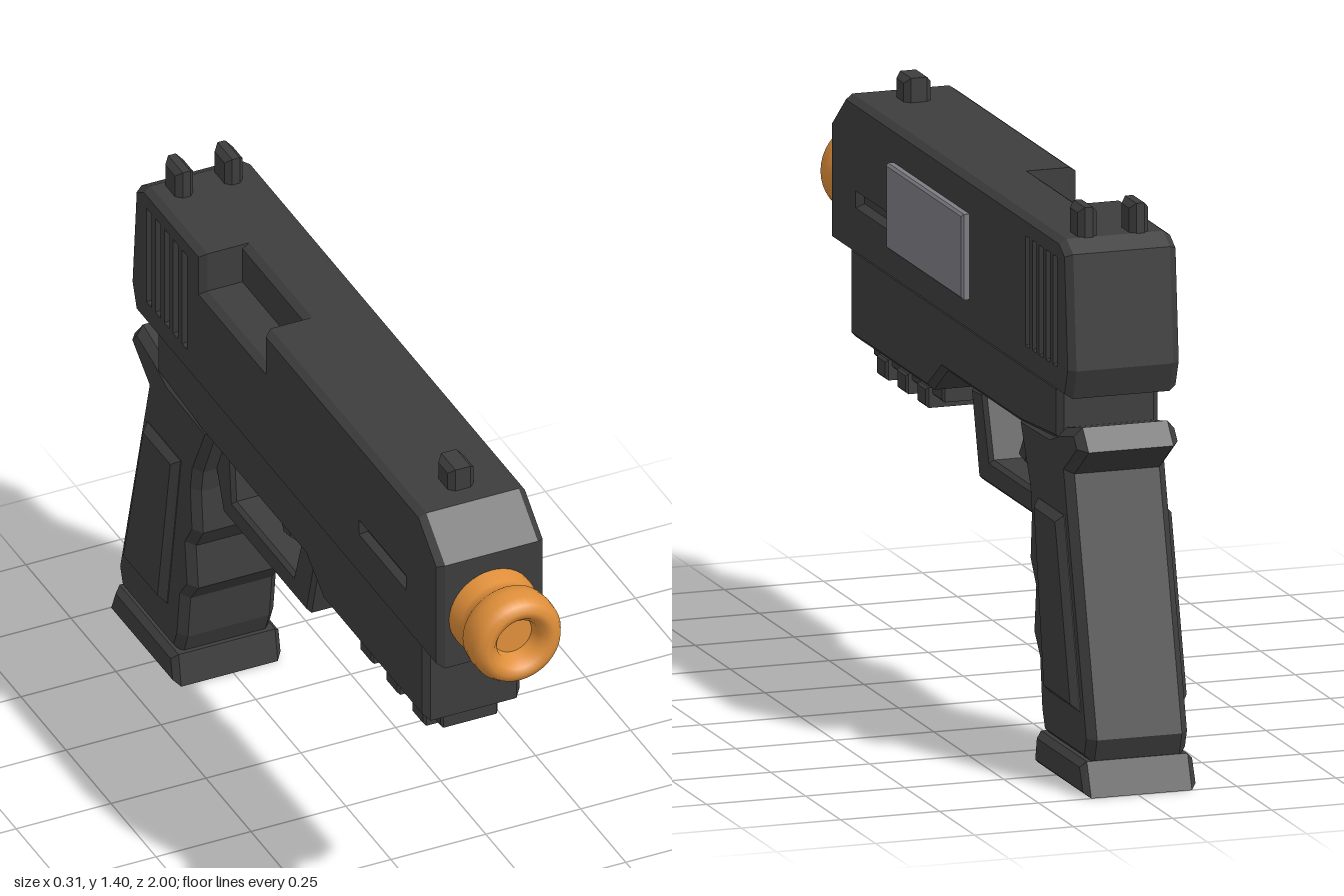
import * as THREE from 'three';

const dark = new THREE.MeshStandardMaterial({ color: 0x3d3d3d });
dark.name = 'charcoal';
const grey = new THREE.MeshStandardMaterial({ color: 0x7e7d84 });
grey.name = 'grey';
const orange = new THREE.MeshStandardMaterial({ color: 0xe08f3a });
orange.name = 'orange';

const MID = -0.01; // centre line of the body

const rect = (z0, z1, y0, y1) => [[z0, y0], [z1, y0], [z1, y1], [z0, y1]];
const toVectors = (pts) => pts.map(([z, y]) => new THREE.Vector2(z, y));

// Side profile of [z, y] points extruded from x0 to x1 with chamfered edges.
// With holes, the profile is the flat side face and the chamfer grows outward.
function slab(pts, x0, x1, bevel, { holes = [], thickness = bevel } = {}) {
  const shape = new THREE.Shape(toVectors(pts));
  shape.holes = holes.map((h) => new THREE.Path(toVectors(h)));
  const depth = x1 - x0 - 2 * thickness;
  const geo = new THREE.ExtrudeGeometry(shape, {
    depth, bevelEnabled: bevel > 0, bevelSegments: 1, bevelSize: bevel,
    bevelThickness: thickness, bevelOffset: holes.length ? 0 : -bevel,
  });
  geo.translate(0, 0, -depth / 2);
  geo.rotateY(-Math.PI / 2);
  geo.translate((x0 + x1) / 2, 0, 0);
  return geo;
}

export function createModel() {
  const model = new THREE.Group();
  model.name = 'toyBlaster';
  const add = (name, geo, material = dark) => {
    const mesh = new THREE.Mesh(geo, material);
    mesh.name = name;
    model.add(mesh);
    return mesh;
  };
  const centred = (name, pts, width, bevel) =>
    add(name, slab(pts, MID - width / 2, MID + width / 2, bevel));

  // Slide: two overlapping halves with rear serrations and a front groove
  const slots = [rect(0.39, 0.65, 1.065, 1.107)];
  for (let i = 0; i < 5; i++) {
    const z = -0.58 - i * 0.049;
    slots.push(rect(z - 0.014, z + 0.014, 1.01, 1.28));
  }
  const front = [[0.818, 0.957], [0.818, 1.234], [0.72, 1.315]];
  const back = [[-0.805, 1.315], [-0.845, 1.292], [-0.868, 1.02], [-0.845, 0.957]];
  const port = [[-0.128, 1.315], [-0.128, 1.208], [-0.502, 1.208], [-0.502, 1.315]];
  const options = { holes: slots, thickness: 0.018 };
  add('slideLeft', slab([...front, ...back], -0.04, 0.13, 0.012, options));
  add('slideRight', slab([...front, ...port, ...back], -0.15, 0.02, 0.012, options));
  // Floors of the serrations and grooves
  add('slideCore', slab(rect(-0.83, 0.78, 0.98, 1.2), -0.132, 0.112, 0));
  add('slideRearCore', slab(rect(-0.83, -0.53, 1.1, 1.295), -0.132, 0.112, 0));

  // Light plate on the left side of the slide
  add('sidePlate', slab(rect(-0.165, 0.38, 1.03, 1.24), 0.12, 0.15, 0.006), grey);

  // Sights
  add('frontSight', slab(rect(0.59, 0.67, 1.3, 1.387), -0.043, 0.025, 0.014));
  for (const x of [-0.098, 0.032])
    add('rearSight', slab(rect(-0.81, -0.728, 1.3, 1.4), x, x + 0.048, 0.014));

  // Frame under the slide
  centred('frame', [
    [0.73, 0.96], [0.73, 0.73], [0.165, 0.73], [0.065, 0.8],
    [-0.5, 0.8], [-0.765, 0.82], [-0.765, 0.96],
  ], 0.256, 0.015);

  // Accessory rail
  centred('rail', rect(0.21, 0.71, 0.685, 0.74), 0.15, 0.005);
  for (const z of [0.61, 0.465, 0.32])
    centred('railTooth', rect(z - 0.035, z + 0.035, 0.655, 0.705), 0.18, 0.006);

  // Trigger and its guard
  centred('trigger', [
    [-0.24, 0.82], [-0.245, 0.715], [-0.2, 0.65], [-0.26, 0.635],
    [-0.31, 0.715], [-0.318, 0.82],
  ], 0.065, 0.01);
  centred('triggerGuard', [
    [0.02, 0.77], [-0.037, 0.555], [-0.51, 0.555], [-0.56, 0.68], [-0.56, 0.8],
    [-0.47, 0.8], [-0.453, 0.62], [-0.12, 0.62], [-0.067, 0.777],
  ], 0.145, 0.01);

  // Grip with finger ridges and a rear tang
  centred('grip', [
    [-0.47, 0.82], [-0.545, 0.66], [-0.555, 0.6], [-0.545, 0.485], [-0.585, 0.425],
    [-0.572, 0.31], [-0.615, 0.255], [-0.63, 0.135], [-0.655, 0.075],
    [-0.963, 0.075], [-0.985, 0.137], [-0.823, 0.753], [-0.925, 0.828],
    [-0.88, 0.88], [-0.77, 0.855], [-0.7, 0.83],
  ], 0.254, 0.02);
  centred('gripPanels', [
    [-0.625, 0.65], [-0.81, 0.65], [-0.925, 0.195], [-0.7, 0.195],
  ], 0.294, 0.018);
  centred('gripBase', [
    [-0.64, 0.083], [-0.625, 0], [-1, 0], [-0.968, 0.083],
  ], 0.284, 0.015);

  // Rounded muzzle tip, turned around z
  const tip = [
    [0.112, 0.8], [0.112, 0.845], [0.099, 0.868], [0.099, 0.89], [0.115, 0.912],
    [0.118, 0.94], [0.116, 0.97], [0.106, 0.99], [0.088, 1], [0.07, 0.994],
    [0.055, 0.975], [0.05, 0.945],
  ];
  const tipGeo = new THREE.LatheGeometry(toVectors(tip), 40);
  const muzzle = add('muzzleTip', tipGeo, orange);
  muzzle.rotation.x = Math.PI / 2;
  muzzle.position.set(MID, 1.08, 0);
  const plug = add('muzzlePlug', new THREE.CircleGeometry(0.052, 40), orange);
  plug.position.set(MID, 1.08, 0.946);

  return model;
}
